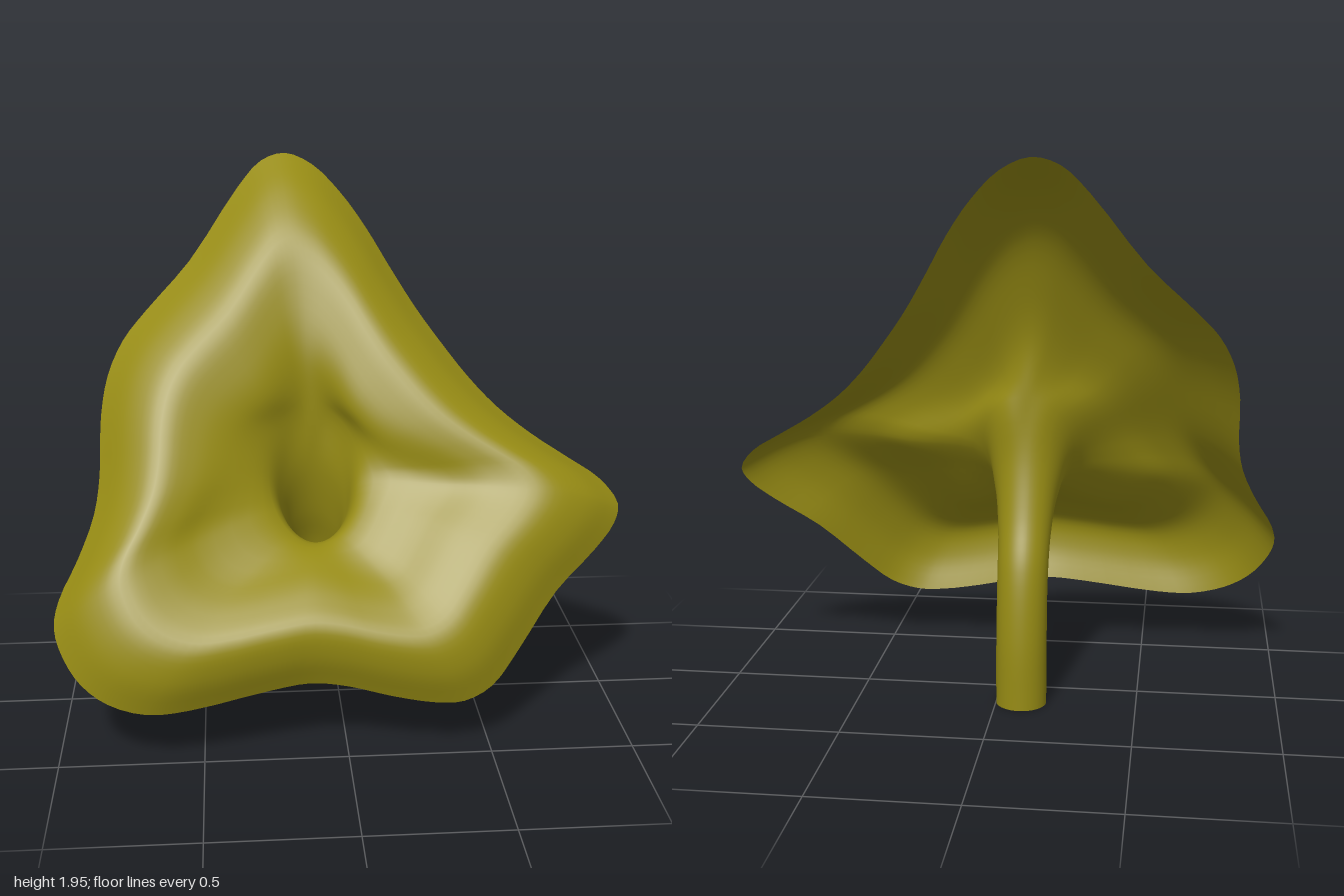
import * as THREE from 'three';

const V = (x, y, z) => new THREE.Vector3(x, y, z);

// Wavy rim as seen from the front (x, y), clockwise from the top lobe
const RIM = [
  [-0.16, 1.945], [-0.06, 1.905], [0.04, 1.81], [0.13, 1.69], [0.21, 1.56], [0.3, 1.42], [0.39, 1.3],
  [0.48, 1.19], [0.58, 1.09], [0.7, 1.0], [0.83, 0.92], [0.94, 0.85], [1.0, 0.77], [0.98, 0.71],
  [0.9, 0.63], [0.75, 0.51], [0.6, 0.34], [0.5, 0.24], [0.4, 0.2], [0.3, 0.2], [0.15, 0.225],
  [0, 0.26], [-0.13, 0.275], [-0.27, 0.26], [-0.55, 0.215], [-0.69, 0.21], [-0.82, 0.245],
  [-0.91, 0.305], [-0.97, 0.385], [-1.0, 0.47], [-0.985, 0.55], [-0.92, 0.67], [-0.865, 0.8],
  [-0.845, 0.92], [-0.84, 1.1], [-0.815, 1.23], [-0.76, 1.34], [-0.68, 1.43], [-0.52, 1.59],
  [-0.34, 1.83], [-0.25, 1.92],
];

// Stem and throat rings: back point and front point as [z, y], and half width in x
const RINGS = [
  [[-0.24, 0], [-0.06, 0], 0.09],
  [[-0.237, 0.25], [-0.057, 0.25], 0.09],
  [[-0.2, 0.5], [-0.035, 0.42], 0.09],
  [[-0.13, 0.68], [0.02, 0.55], 0.095],
  [[-0.08, 0.88], [0.1, 0.635], 0.115],
  [[-0.065, 1.1], [0.2, 0.675], 0.165],
];

// Flare profile: share of the way from throat centre to rim, height over the rim plane
const FLARE = [[0.45, 0.075], [0.6, 0.13], [0.75, 0.154], [0.88, 0.1], [1, 0]];

// The rim lies in one tilted plane
const onPlane = (x, y) => V(x, y, (0.545 - 0.037 * x - 0.527 * y) / 0.85);
const NORMAL = V(0.037, 0.527, 0.85).normalize();
const UP = V(0, 0.85, -0.527);
const CENTRE = onPlane(-0.1, 0.9);
const STEM_X = -0.09;

// One lengthwise curve from the foot of the stem to a rim point
function lengthCurve(rimPoint) {
  const out = rimPoint.clone().sub(CENTRE);
  const angle = Math.atan2(out.x, out.dot(UP));
  const points = RINGS.map(([back, front, width]) => {
    const c = Math.cos(angle) / 2;
    return V(
      STEM_X + Math.sin(angle) * width,
      (back[1] + front[1]) / 2 + c * (back[1] - front[1]),
      (back[0] + front[0]) / 2 + c * (back[0] - front[0]),
    );
  });
  // the lip curls back earlier at the top than at the bottom
  const shift = 1.12 + 0.22 * Math.cos(angle);
  for (const [t, h] of FLARE) {
    points.push(CENTRE.clone().addScaledVector(out, t ** shift).addScaledVector(NORMAL, h));
  }
  return new THREE.CatmullRomCurve3(points);
}

// Loft the closed ring of lengthwise curves into one smooth sheet
function trumpetGeometry(columns, rows) {
  const rim = new THREE.CatmullRomCurve3(RIM.map(([x, y]) => onPlane(x, y)), true);
  const positions = [];
  const index = [];
  for (let i = 0; i < columns; i++) {
    const curve = lengthCurve(rim.getPoint(i / columns));
    const next = (i + 1) % columns;
    for (let j = 0; j <= rows; j++) {
      positions.push(...curve.getPoint(j / rows).toArray());
      if (j === rows) continue;
      const a = i * (rows + 1) + j;
      const b = next * (rows + 1) + j;
      index.push(a, a + 1, b, b, a + 1, b + 1);
    }
  }
  const geometry = new THREE.BufferGeometry();
  geometry.setAttribute('position', new THREE.Float32BufferAttribute(positions, 3));
  geometry.setIndex(index);
  geometry.computeVertexNormals();
  return geometry;
}

export function createModel() {
  const group = new THREE.Group();
  group.name = 'trumpetFlower';
  const material = new THREE.MeshStandardMaterial({ color: 0x968b14, side: THREE.DoubleSide });
  const flower = new THREE.Mesh(trumpetGeometry(123, 50), material);
  flower.name = 'stemAndFlaredBloom';
  group.add(flower);
  return group;
}
